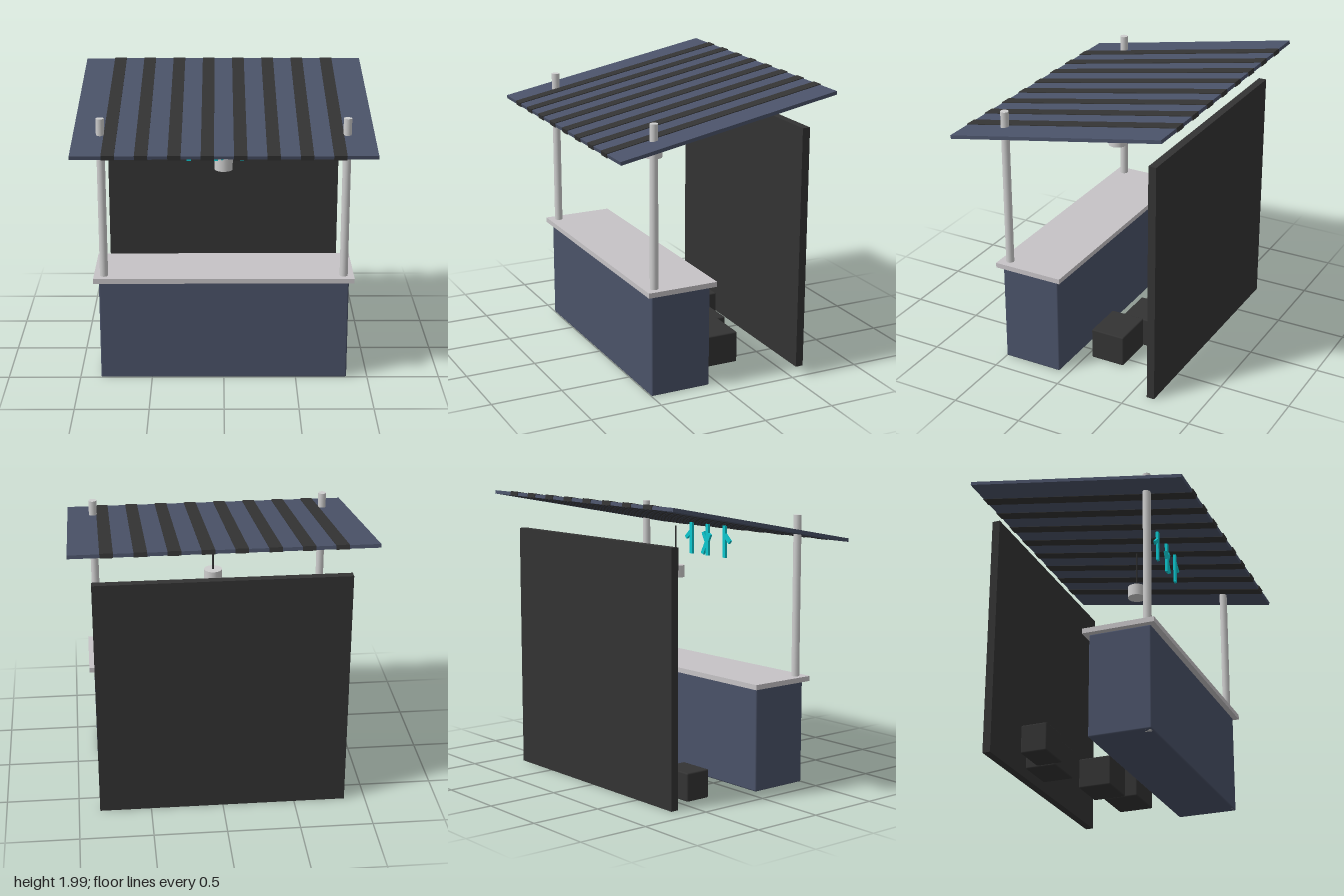
import * as THREE from 'three';
import { RoundedBoxGeometry } from 'three/addons/geometries/RoundedBoxGeometry.js';

const material = (name, color) => {
  const m = new THREE.MeshStandardMaterial({ color });
  m.name = name;
  return m;
};

export function createModel() {
  const blue = material('slate blue', 0x4a5268);
  const dark = material('charcoal', 0x333333);
  const stone = material('worktop grey', 0xc6c3c6);
  const metal = material('light metal', 0xcecece);
  const cyan = material('neon cyan', 0x0cc8d0);
  const model = new THREE.Group();
  model.name = 'marketStall';

  const add = (name, geometry, mat, x, y, z, parent = model) => {
    const mesh = new THREE.Mesh(geometry, mat);
    mesh.name = name;
    mesh.position.set(x, y, z);
    parent.add(mesh);
    return mesh;
  };
  const box = (w, h, d) => new THREE.BoxGeometry(w, h, d);
  const rounded = (w, h, d) => new RoundedBoxGeometry(w, h, d, 2, 0.01);

  // Counter and worktop
  add('counter', rounded(1.71, 0.715, 0.43), blue, 0, 0.3575, 0.285);
  add('worktop', box(1.78, 0.035, 0.5), stone, 0, 0.7325, 0.285);

  // Back wall
  add('backWall', box(1.71, 1.715, 0.055), dark, 0, 0.8575, -0.642);

  // Posts run from the ground through the roof
  for (const side of [-1, 1]) {
    add('post', new THREE.CylinderGeometry(0.028, 0.028, 1.86, 12), metal, side * 0.82, 0.93, 0.465);
  }

  // Sloping roof with wrapped stripes
  const roof = new THREE.Group();
  roof.name = 'roof';
  roof.position.set(0, 1.825, 0);
  roof.rotation.x = 0.184;
  model.add(roof);
  add('roofPanel', box(2, 0.024, 1.58), blue, 0, 0, 0, roof);
  for (let i = 0; i < 8; i++) {
    add('roofStripe', box(0.086, 0.031, 1.59), dark, (i - 3.5) * 0.215, 0.001, 0, roof);
  }

  // Hanging lamp
  add('lampCord', new THREE.CylinderGeometry(0.006, 0.006, 0.28, 8), dark, 0, 1.61, 0.073);
  add('lampShade', new THREE.CylinderGeometry(0.063, 0.063, 0.085, 20), metal, 0, 1.43, 0.073);

  // Neon bars hanging under the roof: x and y of both ends
  const neon = new THREE.Group();
  neon.name = 'neonBars';
  model.add(neon);
  const bars = [
    [-0.237, 1.525, -0.237, 1.75], [-0.237, 1.69, -0.295, 1.637],
    [-0.053, 1.525, -0.053, 1.75], [-0.08, 1.68, -0.04, 1.6],
    [-0.01, 1.69, -0.05, 1.61], [-0.045, 1.62, -0.002, 1.535],
    [0.122, 1.525, 0.122, 1.75], [0.122, 1.69, 0.18, 1.637],
  ];
  for (const [x0, y0, x1, y1] of bars) {
    const length = Math.hypot(x1 - x0, y1 - y0);
    const bar = add('neonBar', box(length, 0.028, 0.018), cyan, (x0 + x1) / 2, (y0 + y1) / 2, 0.325, neon);
    bar.rotation.z = Math.atan2(y1 - y0, x1 - x0);
  }

  // Crates on the floor behind the counter: x, z, width, height, depth
  const crates = [
    [0.438, -0.165, 0.305, 0.225, 0.25],
    [0.14, -0.243, 0.28, 0.213, 0.235],
    [-0.335, -0.43, 0.29, 0.205, 0.22],
    [-0.625, -0.355, 0.255, 0.195, 0.185],
  ];
  for (const [x, z, w, h, d] of crates) {
    add('crate', rounded(w, h, d), dark, x, h / 2, z);
  }

  return model;
}
